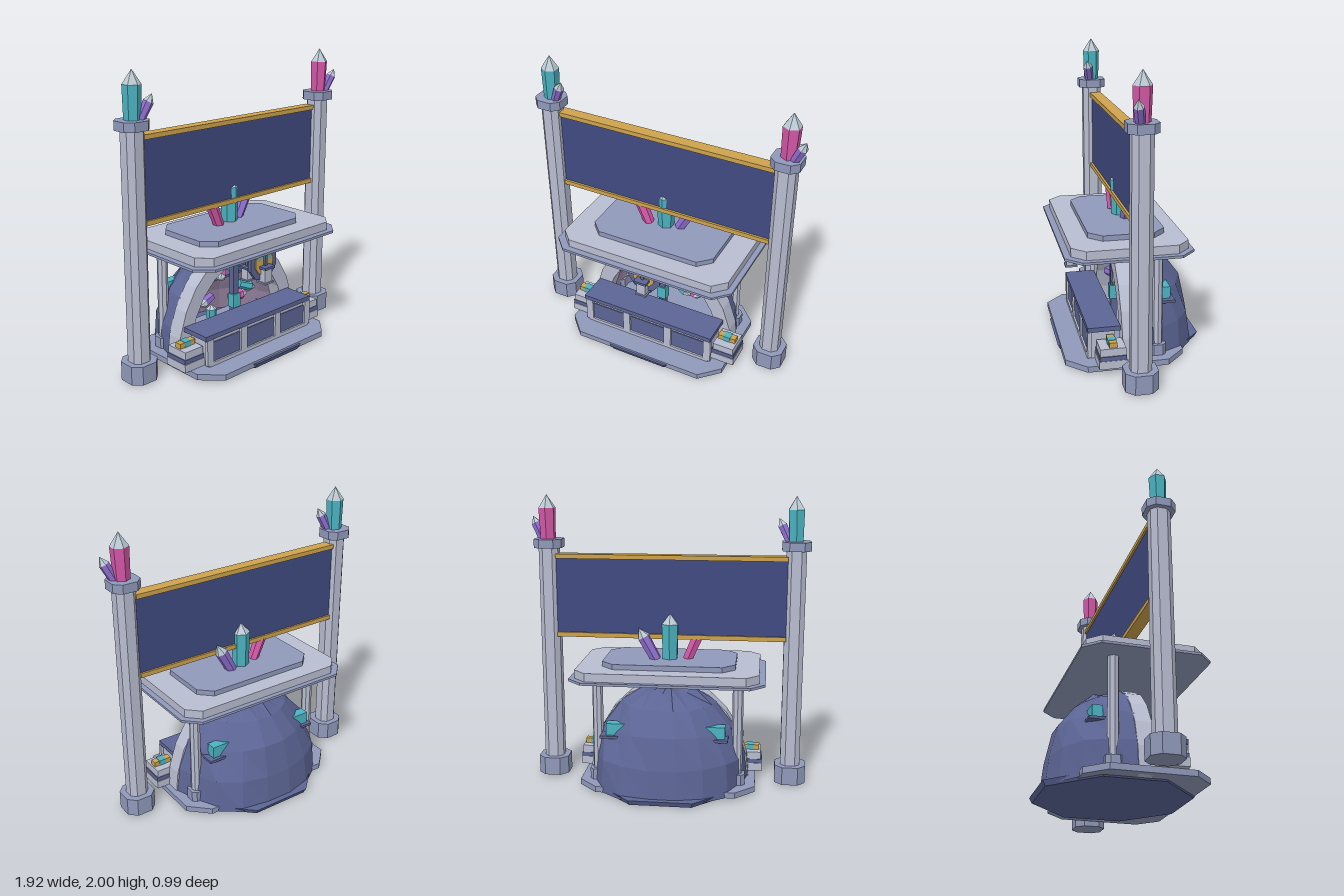
import * as THREE from 'three';

const mat = (name, color, side = THREE.FrontSide) =>
  new THREE.MeshStandardMaterial({ name, color, side, flatShading: true });

export function createModel() {
  const stone = mat('light stone', 0xb8bdd0);
  const trim = mat('grey blue trim', 0x9099ba);
  const slate = mat('slate', 0x5c6595);
  const navy = mat('navy cloth', 0x3f4a80);
  const gold = mat('gold', 0xcda24c);
  const teal = mat('teal crystal', 0x4bb4c2);
  const pink = mat('pink crystal', 0xd458a8);
  const purple = mat('purple crystal', 0x9070d0);
  const pale = mat('pale crystal tip', 0xbccad4);
  const mauve = mat('cave interior', 0x93809f, THREE.DoubleSide);

  const model = new THREE.Group();
  model.name = 'crystalCaveStall';

  const add = (name, geometry, material, x = 0, y = 0, z = 0, parent = model) => {
    const mesh = new THREE.Mesh(geometry, material);
    mesh.name = name;
    mesh.position.set(x, y, z);
    parent.add(mesh);
    return mesh;
  };
  // Box given by its limits
  const box = (name, m, x0, x1, y0, y1, z0, z1, parent) =>
    add(name, new THREE.BoxGeometry(x1 - x0, y1 - y0, z1 - z0), m,
      (x0 + x1) / 2, (y0 + y1) / 2, (z0 + z1) / 2, parent);
  // Upright slab with cut corners, given by its limits
  const slab = (name, m, x0, x1, y0, y1, z0, z1, cut, parent) => {
    const w = (x1 - x0) / 2, d = (z1 - z0) / 2;
    const pts = [[w - cut, -d], [w, cut - d], [w, d - cut], [w - cut, d],
      [cut - w, d], [-w, d - cut], [-w, cut - d], [cut - w, -d]];
    const shape = new THREE.Shape(pts.map((p) => new THREE.Vector2(...p)));
    const g = new THREE.ExtrudeGeometry(shape, { depth: y1 - y0, bevelEnabled: false });
    g.rotateX(-Math.PI / 2);
    return add(name, g, m, (x0 + x1) / 2, y0, (z0 + z1) / 2, parent);
  };
  // Six-sided crystal from a base point to a tip point
  const crystal = (name, m, from, to, r, tipShare = 0.33) => {
    const a = new THREE.Vector3(...from), dir = new THREE.Vector3(...to).sub(a);
    const len = dir.length(), tip = len * tipShare, body = len - tip;
    const g = new THREE.Group();
    g.name = name;
    g.position.copy(a);
    g.quaternion.setFromUnitVectors(new THREE.Vector3(0, 1, 0), dir.normalize());
    add('crystalBody', new THREE.CylinderGeometry(r, r * 0.88, body, 6), m, 0, body / 2, 0, g);
    add('crystalTip', new THREE.ConeGeometry(r, tip, 6, 1, true), pale, 0, body + tip / 2, 0, g);
    model.add(g);
  };

  // Pillars with crystals on their caps
  for (const [x, m] of [[-0.855, teal], [0.835, pink]]) {
    const z = 0.06;
    const tier = (name, mt, h, y0, y1, cut) => slab(name, mt, x - h, x + h, y0, y1, z - h, z + h, cut);
    tier('pillarBase', trim, 0.106, 0.01, 0.137, 0.052);
    tier('pillarShaft', stone, 0.067, 0.137, 1.64, 0.034);
    tier('pillarCap', trim, 0.096, 1.64, 1.7, 0.046);
    crystal('pillarCrystal', m, [x + 0.005, 1.69, z], [x + 0.01, 2.0, z], 0.06, 0.29);
    crystal('pillarSideCrystal', purple, [x + 0.045, 1.69, 0.08], [x + 0.12, 1.85, 0.11], 0.034, 0.3);
  }

  // Banner board between the pillars
  box('banner', navy, -0.8, 0.78, 1.05, 1.575, 0.014, 0.066);
  for (const y of [1.024, 1.57]) box('bannerRail', gold, -0.8, 0.78, y, y + 0.031, 0, 0.082);

  // Canopy and its rear posts
  slab('canopyRim', trim, -0.672, 0.65, 0.775, 0.792, -0.358, 0.483, 0.1);
  slab('canopy', stone, -0.63, 0.612, 0.792, 0.85, -0.325, 0.44, 0.085);
  slab('canopyTop', trim, -0.468, 0.443, 0.85, 0.886, -0.206, 0.305, 0.085);
  for (const x of [-0.49, 0.475]) {
    add('canopyPost', new THREE.CylinderGeometry(0.037, 0.037, 0.75, 8), stone, x, 0.4, -0.135);
    slab('postFoot', trim, x - 0.055, x + 0.055, 0.04, 0.125, -0.19, -0.08, 0.025);
  }
  crystal('roofCrystal', teal, [-0.01, 0.88, 0.018], [-0.01, 1.2, 0.018], 0.064, 0.22);
  crystal('roofCrystal', pink, [-0.13, 0.88, 0.04], [-0.215, 1.08, 0.04], 0.042, 0.25);
  crystal('roofCrystal', purple, [0.085, 0.88, -0.005], [0.205, 1.1, -0.01], 0.044, 0.28);

  // Floor slab and faceted cave floor
  slab('floorSlab', trim, -0.615, 0.595, 0.01, 0.05, -0.32, 0.48, 0.13);
  const disc = new THREE.CylinderGeometry(0.56, 0.54, 0.036, 8);
  disc.rotateY(Math.PI / 8);
  disc.scale(1, 1, 0.96);
  add('caveFloor', disc, slate, 0, 0.018, 0);

  // Cave: jittered quarter-ellipsoid shells, slate outside and mauve inside
  const dome = (name, m, s, jitter) => {
    const g = new THREE.SphereGeometry(1, 9, 5, Math.PI, Math.PI, 0, Math.PI / 2);
    const p = g.attributes.position;
    for (let i = 0; i < p.count; i++) {
      const x = p.getX(i), y = p.getY(i), z = p.getZ(i);
      const n = Math.sin(Math.round(x * 50) * 12.9 + Math.round(y * 50) * 7.3 + Math.round(z * 50) * 4.7);
      const k = s * (1 + (z < -0.05 ? jitter * n : 0));
      p.setXYZ(i, x * 0.56 * k - 0.005, Math.max(0, y) * 0.715 * k + 0.01, z * 0.49 * k + 0.01);
    }
    add(name, g, m);
  };
  dome('caveShell', slate, 1, 0.03);
  dome('caveInterior', mauve, 0.87, 0.02);

  // Cave arch
  const arc = (rx, ry, n) => Array.from({ length: n + 1 }, (_, i) => {
    const t = (Math.PI * i) / n;
    return new THREE.Vector2(rx * Math.cos(t), ry * Math.sin(t));
  });
  const archShape = new THREE.Shape([...arc(0.565, 0.715, 12), ...arc(0.46, 0.6, 12).reverse()]);
  add('caveArch', new THREE.ExtrudeGeometry(archShape, { depth: 0.11, bevelEnabled: false }), stone, -0.005, 0.01, 0);

  // Shelf with teal blocks that break through the cave wall
  box('caveShelf', slate, -0.43, 0.44, 0.38, 0.398, -0.27, -0.15);
  for (const x of [-0.31, 0.3]) box('shelfCrystal', teal, x - 0.1, x + 0.1, 0.398, 0.48, -0.245, -0.175);

  // Loose crystals inside the cave
  crystal('caveCrystal', purple, [-0.19, 0.37, 0.02], [-0.33, 0.345, 0.06], 0.036);
  crystal('caveCrystal', pink, [-0.02, 0.5, -0.05], [-0.1, 0.46, 0.02], 0.036);
  crystal('caveCrystal', teal, [0.08, 0.39, 0.02], [0.21, 0.34, 0.06], 0.036);
  crystal('caveCrystal', teal, [-0.17, 0.2, 0.0], [-0.17, 0.3, 0.0], 0.04);
  crystal('caveCrystal', pink, [0.1, 0.24, -0.1], [0.25, 0.26, -0.06], 0.04);

  // Centre pole with a teal foot
  box('centrePole', slate, -0.035, 0.012, 0.04, 0.62, 0.045, 0.085);
  box('poleFoot', teal, -0.045, 0.022, 0.26, 0.36, 0.04, 0.095);

  // Counter
  box('counterBody', stone, -0.49, 0.475, 0.05, 0.24, 0.15, 0.315);
  box('counterTop', slate, -0.52, 0.492, 0.24, 0.272, 0.115, 0.333);
  for (const x of [-0.338, -0.008, 0.322]) box('counterPanel', slate, x - 0.136, x + 0.136, 0.075, 0.212, 0.315, 0.322);
  for (const x of [-0.482, -0.173, 0.157, 0.467]) box('counterUpright', stone, x - 0.027, x + 0.027, 0.06, 0.24, 0.31, 0.335);
  box('counterBottomRail', stone, -0.49, 0.475, 0.05, 0.075, 0.31, 0.335);

  // Side pedestals with gold ingots
  for (const x of [-0.575, 0.565]) {
    box('pedestalFoot', stone, x - 0.085, x + 0.085, 0.05, 0.105, 0.1, 0.285);
    box('pedestalBand', slate, x - 0.082, x + 0.082, 0.105, 0.135, 0.104, 0.281);
    box('pedestalTop', stone, x - 0.075, x + 0.075, 0.135, 0.187, 0.108, 0.277);
    box('ingot', gold, x - 0.064, x + 0.064, 0.187, 0.222, 0.165, 0.215);
    box('ingotGem', teal, x - 0.025, x + 0.025, 0.187, 0.225, 0.162, 0.218);
  }

  // Hanging medallion
  const plate = (name, m, r, z, depth) => {
    const g = new THREE.CylinderGeometry(r, r, depth, 10);
    g.rotateX(Math.PI / 2);
    add(name, g, m, -0.012, 0.662, z);
  };
  plate('medallion', slate, 0.127, 0.338, 0.025);
  plate('medallionGold', gold, 0.085, 0.354, 0.009);
  const band = add('medallionArc', new THREE.RingGeometry(0.045, 0.066, 8, 1, 0.3, Math.PI - 0.6), teal, -0.012, 0.665, 0.3595);

  // Lanterns
  for (const [x, y, z, s] of [[-0.012, 0.525, 0.365, 1], [0.125, 0.42, 0.06, 0.85]]) {
    const g = new THREE.Group();
    g.name = 'lantern';
    g.position.set(x, y, z);
    g.scale.setScalar(s);
    box('lanternBase', trim, -0.042, 0.042, 0, 0.012, -0.042, 0.042, g);
    box('lanternBody', stone, -0.033, 0.033, 0.012, 0.105, -0.033, 0.033, g);
    box('lanternCap', slate, -0.047, 0.047, 0.105, 0.122, -0.047, 0.047, g);
    box('lanternHanger', slate, -0.01, 0.01, 0.122, 0.25, -0.01, 0.01, g);
    model.add(g);
  }
  return model;
}
